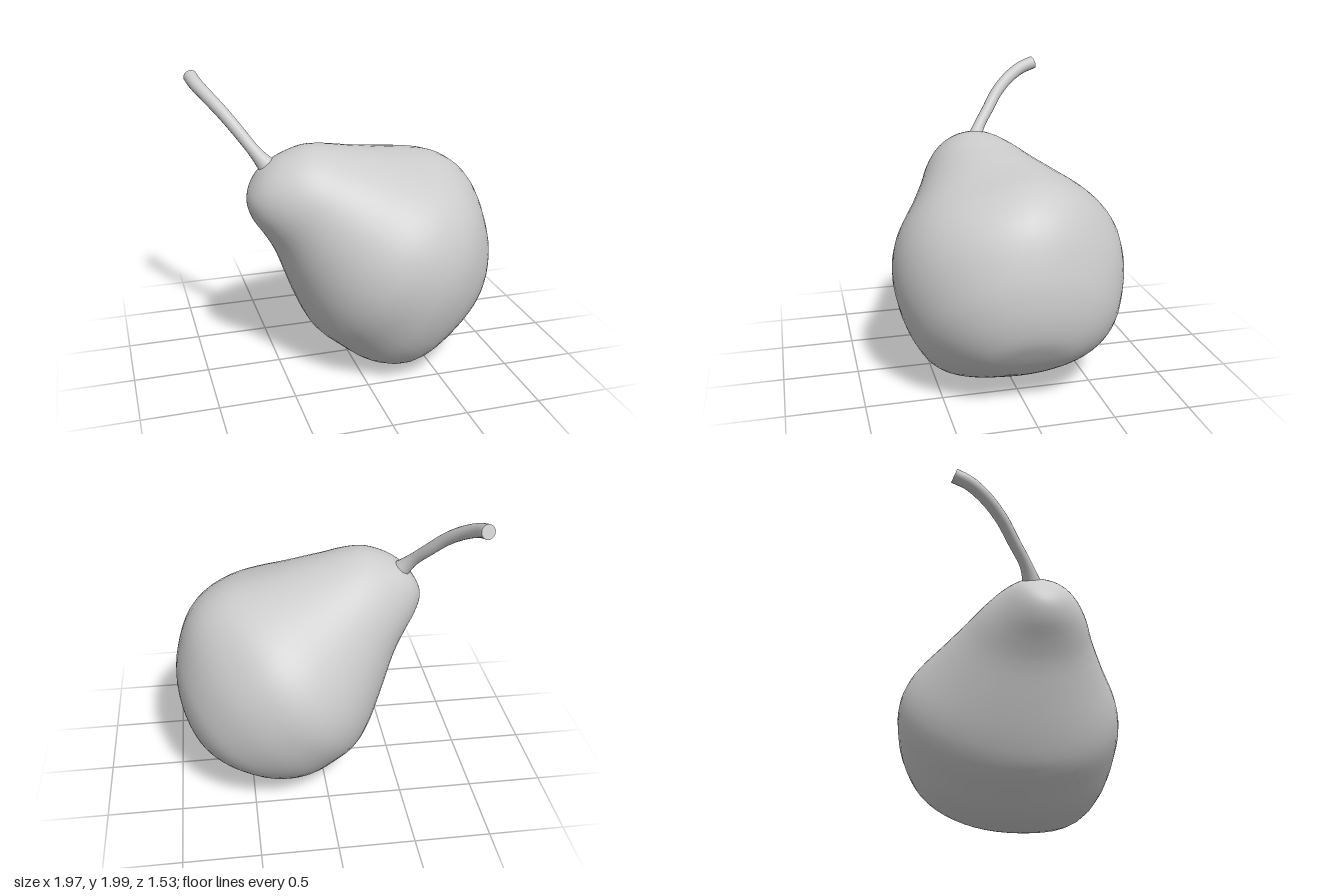
import * as THREE from 'three';

const grey = new THREE.MeshStandardMaterial({ color: 0xcccccc });
grey.name = 'pale grey';

// Skins a list of closed rings of equal length into one smooth surface
function loft(name, rings) {
  const n = rings[0].length;
  const index = [];
  for (let i = 0; i < rings.length - 1; i++) {
    for (let j = 0; j < n; j++) {
      const k = (j + 1) % n;
      const a = i * n + j, b = (i + 1) * n + j, c = i * n + k, d = (i + 1) * n + k;
      index.push(a, b, c, b, d, c);
    }
  }
  const geometry = new THREE.BufferGeometry().setFromPoints(rings.flat());
  geometry.setIndex(index);
  geometry.computeVertexNormals();
  const mesh = new THREE.Mesh(geometry, grey);
  mesh.name = name;
  return mesh;
}

// Fruit: elliptical sections along a tilted axis, with soft swellings and flats
function makeFruit() {
  const origin = new THREE.Vector3(0.28, 0.76, 0);
  const axis = new THREE.Vector3(-0.79, 0.61, 0).normalize();
  const up = new THREE.Vector3(axis.y, -axis.x, 0);
  // distance along axis, upper edge, lower edge, half width, sideways offset
  const sections = [
    [-0.682, 0.02, 0.018, 0.001, 0],
    [-0.678, 0.11, -0.07, 0.12, 0],
    [-0.66, 0.24, -0.18, 0.26, 0],
    [-0.595, 0.375, -0.335, 0.40, 0],
    [-0.50, 0.495, -0.51, 0.53, 0],
    [-0.39, 0.59, -0.645, 0.63, 0],
    [-0.22, 0.69, -0.717, 0.72, 0],
    [-0.05, 0.74, -0.725, 0.76, 0],
    [0.13, 0.735, -0.714, 0.76, 0],
    [0.30, 0.67, -0.642, 0.70, 0.01],
    [0.50, 0.56, -0.525, 0.565, 0.035],
    [0.70, 0.45, -0.40, 0.435, 0.065],
    [0.85, 0.375, -0.335, 0.35, 0.09],
    [0.97, 0.295, -0.292, 0.265, 0.105],
    [1.06, 0.17, -0.23, 0.18, 0.105],
    [1.105, 0.06, -0.145, 0.10, 0.09],
    [1.12, -0.02, -0.022, 0.001, 0.07],
  ];
  // direction from the middle of the bulb, and height, of each swelling or flat
  const lumps = [
    [0.59, 0.60, -0.11, 0.035],
    [0.00, -0.55, 0.42, 0.045],
    [0.42, -0.31, -0.48, 0.035],
    [0.24, 0.92, 0.32, -0.03],
    [0.37, 0.43, -0.51, -0.025],
  ].map(([x, y, z, height]) => [new THREE.Vector3(x, y, z).normalize(), height]);
  const edges = new THREE.CatmullRomCurve3(
    sections.map(([s, top, low]) => new THREE.Vector3(s, top, low)), false, 'catmullrom');
  const widths = new THREE.CatmullRomCurve3(
    sections.map(([s, , , w, z]) => new THREE.Vector3(s, w, z)), false, 'catmullrom');
  const rings = [];
  const steps = (sections.length - 1) * 3, sides = 48;
  for (let i = 0; i <= steps; i++) {
    const e = edges.getPoint(i / steps), w = widths.getPoint(i / steps);
    const ring = [];
    for (let j = 0; j < sides; j++) {
      const a = (j / sides) * Math.PI * 2;
      const t = (e.y + e.z) / 2 + ((e.y - e.z) / 2) * Math.cos(a);
      const p = new THREE.Vector3().addScaledVector(axis, e.x).addScaledVector(up, t);
      p.z += w.z + w.y * Math.sin(a);
      const out = p.clone().normalize();
      for (const [dir, height] of lumps) {
        p.addScaledVector(out, height * Math.max(0, out.dot(dir)) ** 12);
      }
      ring.push(p.add(origin));
    }
    rings.push(ring);
  }
  return loft('fruit', rings);
}

// Stem: round sections along a bent path, flared at both ends
function makeStem() {
  const path = new THREE.CatmullRomCurve3([
    [-0.49, 1.38, 0.08], [-0.61, 1.53, 0.01], [-0.705, 1.66, -0.09], [-0.79, 1.77, -0.18],
    [-0.87, 1.86, -0.29], [-0.925, 1.92, -0.40], [-0.945, 1.952, -0.495],
  ].map((p) => new THREE.Vector3(...p)));
  const steps = 30, sides = 16;
  const frames = path.computeFrenetFrames(steps, false);
  const ringAt = (i, radius) => Array.from({ length: sides }, (_, j) => {
    const a = (j / sides) * Math.PI * 2;
    return path.getPointAt(i / steps)
      .addScaledVector(frames.normals[i], radius * Math.cos(a))
      .addScaledVector(frames.binormals[i], -radius * Math.sin(a));
  });
  const rings = [];
  for (let i = 0; i <= steps; i++) {
    const u = i / steps;
    rings.push(ringAt(i, 0.039 + 0.06 * Math.max(0, 1 - u * 3.5) ** 2 + 0.008 * u * u));
  }
  const stem = new THREE.Group();
  stem.name = 'stem';
  // Separate cut face keeps the tip edge sharp
  stem.add(loft('stemShaft', rings), loft('stemTip', [rings[steps], ringAt(steps, 0.0005)]));
  return stem;
}

export function createModel() {
  const pear = new THREE.Group();
  pear.name = 'pear';
  pear.add(makeFruit(), makeStem());
  return pear;
}
